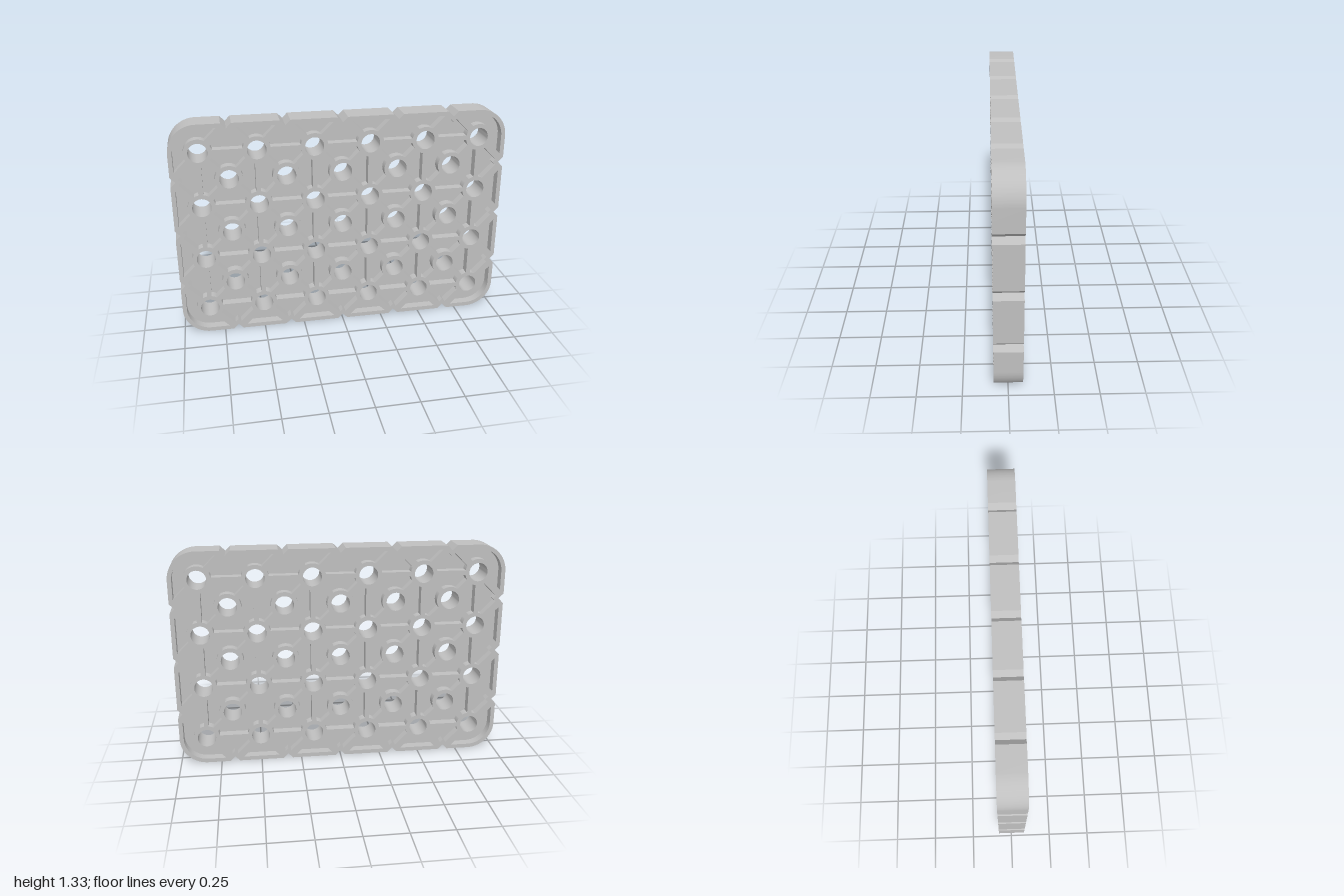
import * as THREE from 'three';
import { toCreasedNormals } from 'three/addons/utils/BufferGeometryUtils.js';

const P = 1 / 3;            // hole pitch
const W = 1, H = 2 / 3;     // half width and half height
const D = 0.08;             // half thickness of rim, bosses and ribs
const WEB = 0.025;          // half thickness of the middle web
const HOLE = 0.056, BOSS = 0.081, RIB = 0.028;

// Rounded rectangle outline with V notches between the hole columns and rows
function outline(Type, inset, notch) {
  const w = W - inset, h = H - inset, r = P / 2 - inset;
  const s = new Type();
  const sides = [[w, h, 5], [h, w, 3], [w, h, 5], [h, w, 3]];
  sides.forEach(([len, dist, count], k) => {
    const a = k * Math.PI / 2, c = Math.cos(a), n = Math.sin(a);
    const to = (u, v) => [u * c - v * n, u * n + v * c];
    const start = to(-len + r, -dist);
    if (k === 0) s.moveTo(...start);
    for (let i = 0; i < count; i++) {
      const u = (i - (count - 1) / 2) * P;
      s.lineTo(...to(u - notch, -dist));
      s.lineTo(...to(u, -dist + notch));
      s.lineTo(...to(u + notch, -dist));
    }
    s.lineTo(...to(len - r, -dist));
    const [cx, cy] = to(len - r, -dist + r);
    s.absarc(cx, cy, r, a - Math.PI / 2, a, false);
  });
  return s;
}

function extrude(shape, half) {
  const g = new THREE.ExtrudeGeometry(shape, { depth: 2 * half, bevelEnabled: false, curveSegments: 20 });
  g.translate(0, 0, -half);
  return toCreasedNormals(g, 0.5);
}

export function createModel() {
  const model = new THREE.Group();
  const grey = new THREE.MeshStandardMaterial({ color: 0xbfbfbf });
  grey.name = 'grey plastic';
  const body = new THREE.Group();
  body.position.y = H;
  model.add(body);
  const add = (name, geometry, x = 0, y = 0, angle = 0) => {
    const m = new THREE.Mesh(geometry, grey);
    m.name = name;
    m.position.set(x, y, 0);
    m.rotation.z = angle;
    body.add(m);
  };

  // Hole centres: a main grid and a second grid in its gaps
  const grid = (cols, rows) => {
    const list = [];
    for (let i = 0; i < cols; i++) for (let j = 0; j < rows; j++)
      list.push([(i - (cols - 1) / 2) * P, (j - (rows - 1) / 2) * P]);
    return list;
  };
  const main = grid(6, 4), second = grid(5, 3);
  const holes = [...main, ...second];

  // Notched rim
  const rim = outline(THREE.Shape, 0, 0.03);
  rim.holes.push(outline(THREE.Path, 0.025, 0.04));
  add('rim', extrude(rim, D));

  // Thin middle web with openings for the bosses
  const web = outline(THREE.Shape, 0.012, 0.035);
  for (const [x, y] of holes) {
    const hole = new THREE.Path();
    hole.absarc(x, y, 0.068, 0, Math.PI * 2, true);
    web.holes.push(hole);
  }
  add('web', extrude(web, WEB));

  // Ring bosses around the through holes
  const ring = new THREE.LatheGeometry([
    [HOLE, D], [HOLE, -D], [BOSS, -D], [BOSS, D], [HOLE, D],
  ].map(([x, y]) => new THREE.Vector2(x, y)), 40);
  ring.rotateX(Math.PI / 2);
  const boss = toCreasedNormals(ring, 0.5);
  for (const [x, y] of holes) add('boss', boss, x, y);

  // Straight ribs join the main bosses
  const rib = (length, width) => new THREE.BoxGeometry(length, width, 2 * D);
  const straight = rib(P - 2 * BOSS + 0.01, RIB);
  for (const [x, y] of main) {
    if (x < W - P / 2 - 0.01) add('horizontalRib', straight, x + P / 2, y);
    if (y < H - P / 2 - 0.01) add('verticalRib', straight, x, y + P / 2, Math.PI / 2);
  }

  // Diagonal ribs run from main bosses to the second grid or to the rim notches
  const reach = P / Math.SQRT2;
  const inner = rib(reach - 2 * BOSS + 0.01, 0.034);
  const a0 = BOSS - 0.005, a1 = reach - 0.0215;
  const outer = rib(a1 - a0, 0.042);
  for (const [x, y] of main) for (const sx of [-1, 1]) for (const sy of [-1, 1]) {
    const atSide = Math.abs(x + sx * P / 2) > W - 0.01;
    const atEnd = Math.abs(y + sy * P / 2) > H - 0.01;
    if (atSide && atEnd) continue;
    const edge = atSide || atEnd;
    const d = (edge ? (a0 + a1) / 2 : reach / 2) / Math.SQRT2;
    add(edge ? 'notchRib' : 'diagonalRib', edge ? outer : inner,
      x + sx * d, y + sy * d, sx * sy * Math.PI / 4);
  }
  return model;
}
